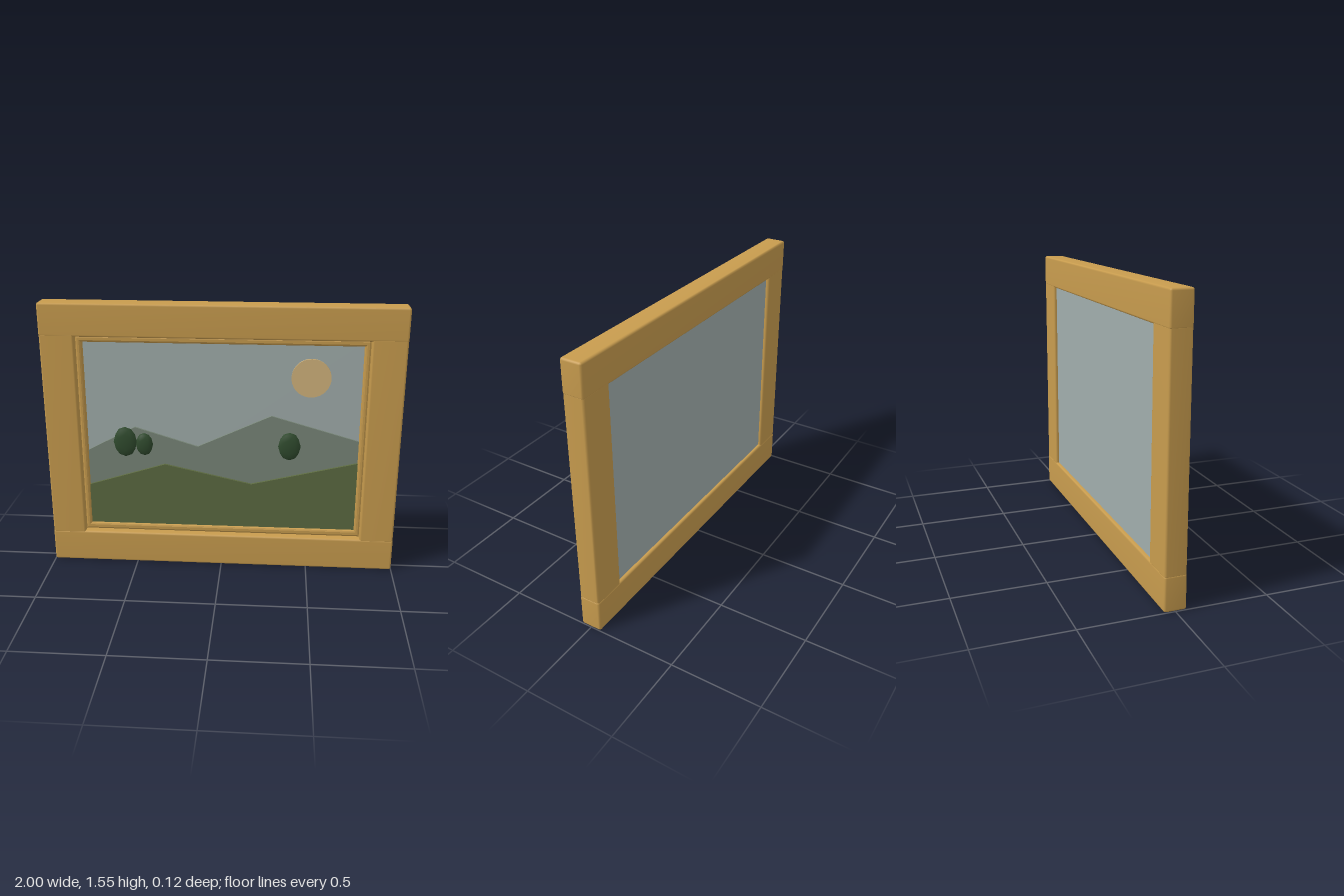
import * as THREE from 'three';
import { mergeVertices } from 'three/addons/utils/BufferGeometryUtils.js';
import { RoundedBoxGeometry } from 'three/addons/geometries/RoundedBoxGeometry.js';

const material = (name, color) => {
  const m = new THREE.MeshStandardMaterial({ color });
  m.name = name;
  return m;
};

export function createModel() {
  const group = new THREE.Group();
  group.name = 'framedLandscape';

  const wood = material('goldenWood', 0xc89c4e);
  const skyBlue = material('paleSky', 0xa1aeac);
  const sage = material('sageGreen', 0x788678);
  const grass = material('grassGreen', 0x5c6a41);
  const sunTan = material('warmSun', 0xd2b47c);
  const leaf = material('darkLeaf', 0x304b2e);

  const add = (name, geometry, mat, x = 0, y = 0, z = 0) => {
    const mesh = new THREE.Mesh(geometry, mat);
    mesh.name = name;
    mesh.position.set(x, y, z);
    group.add(mesh);
    return mesh;
  };

  // Chamfered beam with normals blended over the edges, for a soft pillow look
  const beam = (w, h, d, r) => {
    let g = new RoundedBoxGeometry(w, h, d, 1, r);
    g.deleteAttribute('normal');
    g.deleteAttribute('uv');
    g = mergeVertices(g, 1e-4);
    g.computeVertexNormals();
    return g;
  };

  // Outer frame: full-width rails with stiles between them
  add('bottomRail', beam(2, 0.19, 0.12, 0.012), wood, 0, 0.095);
  add('topRail', beam(2, 0.185, 0.12, 0.012), wood, 0, 1.46);
  for (const side of [-1, 1]) {
    add(side > 0 ? 'leftStile' : 'rightStile',
      beam(0.193, 1.21, 0.118, 0.012), wood, side * 0.9025, 0.78);
  }

  // Inner moulding: bevelled rectangular ring set back inside the frame
  const rectangle = (Type, x, y0, y1) => new Type([
    [-x, y0], [x, y0], [x, y1], [-x, y1],
  ].map(p => new THREE.Vector2(...p)));
  const ring = rectangle(THREE.Shape, 0.798, 0.2, 1.357);
  ring.holes.push(rectangle(THREE.Path, 0.787, 0.216, 1.342));
  add('innerMoulding', new THREE.ExtrudeGeometry(ring, {
    depth: 0.025, bevelEnabled: true, bevelSize: 0.012, bevelThickness: 0.012, bevelSegments: 2,
  }), wood, 0, 0, -0.018);

  // Sky board, also seen from behind
  add('skyBoard', new THREE.BoxGeometry(1.63, 1.2, 0.02), skyBlue, 0, 0.78, -0.03);

  // Hills: thin cut-outs stacked towards the front
  const hill = (name, ridge, mat, z, depth) => {
    const outline = [[-0.79, 0.21], [0.79, 0.21], ...ridge.slice().reverse()];
    const shape = new THREE.Shape(outline.map(p => new THREE.Vector2(...p)));
    add(name, new THREE.ExtrudeGeometry(shape, { depth, bevelEnabled: false }), mat, 0, 0, z);
  };
  hill('farHills', [[-0.79, 0.675], [-0.5, 0.83], [-0.14, 0.72], [0.28, 0.915], [0.79, 0.77]],
    sage, -0.02, 0.012);
  hill('nearHills', [[-0.79, 0.467], [-0.33, 0.61], [0.17, 0.5], [0.79, 0.65]],
    grass, -0.008, 0.014);

  // Sun: thin disc
  const disc = new THREE.CylinderGeometry(0.11, 0.11, 0.009, 40).rotateX(Math.PI / 2);
  add('sun', disc, sunTan, 0.495, 1.14, -0.0155);

  // Bushes: flattened rounded lumps
  const bushes = [[-0.555, 0.745, 0.068, 0.09], [-0.445, 0.732, 0.05, 0.068], [0.385, 0.74, 0.064, 0.084]];
  bushes.forEach(([x, y, rx, ry], i) => {
    let g = new THREE.IcosahedronGeometry(1, 1);
    g.deleteAttribute('normal');
    g.deleteAttribute('uv');
    g = mergeVertices(g, 1e-4);
    g.scale(rx, ry, 0.02);
    g.computeVertexNormals();
    add('bush' + (i + 1), g, leaf, x, y, 0.003);
  });

  return group;
}
